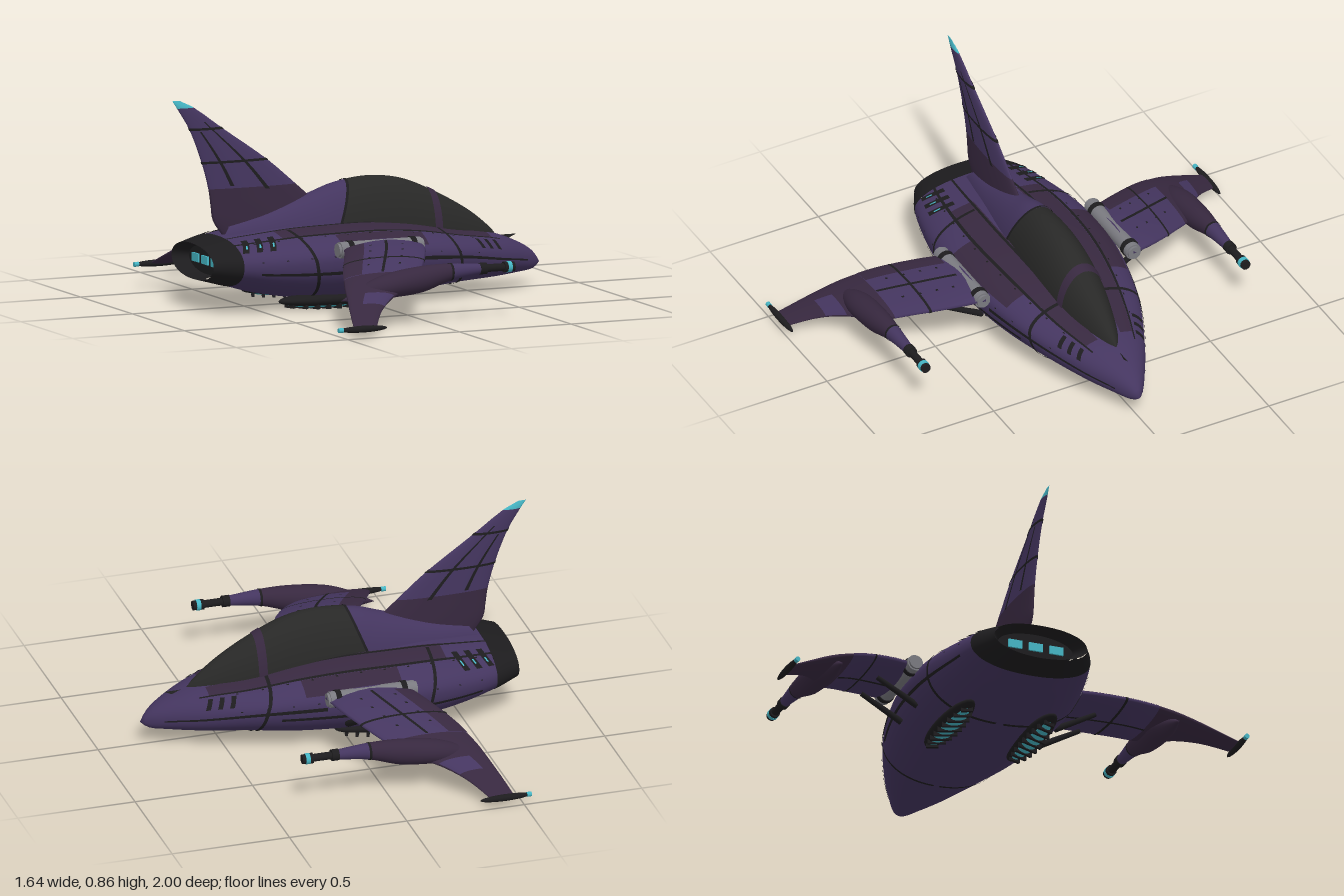
import * as THREE from 'three';
import { mergeVertices } from 'three/addons/utils/BufferGeometryUtils.js';

const PI = Math.PI;
const mat = (name, color, side = THREE.FrontSide) => {
  const m = new THREE.MeshStandardMaterial({ color, side });
  m.name = name;
  return m;
};

// Smooth lookup in a table whose first column is the position
function sample(table, s) {
  let i = 0;
  while (i < table.length - 2 && s > table[i + 1][0]) i++;
  const a = table[i], b = table[i + 1], p = table[i - 1] || a, n = table[i + 2] || b;
  const h = b[0] - a[0], k = THREE.MathUtils.clamp((s - a[0]) / h, 0, 1);
  return a.map((_, c) => {
    const m0 = (b[c] - p[c]) / (b[0] - p[0]) * h, m1 = (n[c] - a[c]) / (n[0] - a[0]) * h;
    const k2 = k * k, k3 = k2 * k;
    return (2 * k3 - 3 * k2 + 1) * a[c] + (k3 - 2 * k2 + k) * m0 + (3 * k2 - 2 * k3) * b[c] + (k3 - k2) * m1;
  });
}

// Surface from a point rule over a grid of u, v in 0..1
function grid(nu, nv, fn) {
  const pos = [], idx = [];
  for (let i = 0; i <= nu; i++) for (let j = 0; j <= nv; j++) pos.push(...fn(i / nu, j / nv));
  for (let i = 0; i < nu; i++) for (let j = 0; j < nv; j++) {
    const a = i * (nv + 1) + j, b = a + nv + 1;
    idx.push(a, b, b + 1, a, b + 1, a + 1);
  }
  let g = new THREE.BufferGeometry();
  g.setAttribute('position', new THREE.Float32BufferAttribute(pos, 3));
  g.setIndex(idx);
  g = mergeVertices(g, 1e-5);
  g.computeVertexNormals();
  return g;
}

// Hull rows: x, half width, bottom, top, height of the widest line
const HULL = [
  [-0.73, 0.20, 0.13, 0.27, 0.2], [-0.62, 0.26, 0.10, 0.295, 0.2], [-0.5, 0.295, 0.065, 0.31, 0.2],
  [-0.35, 0.325, 0.037, 0.325, 0.205], [-0.2, 0.338, 0.022, 0.33, 0.21], [0, 0.33, 0.018, 0.33, 0.21],
  [0.2, 0.295, 0.025, 0.31, 0.2], [0.4, 0.235, 0.045, 0.27, 0.18], [0.6, 0.145, 0.055, 0.235, 0.145],
  [0.72, 0.078, 0.065, 0.19, 0.125], [0.79, 0.032, 0.075, 0.145, 0.108], [0.822, 0, 0.1, 0.1, 0.1]];
const CANOPY = [
  [-0.72, 0.015, 0.2, 0.27, 0.25], [-0.6, 0.04, 0.2, 0.33, 0.25], [-0.4, 0.075, 0.2, 0.385, 0.26],
  [-0.2, 0.105, 0.2, 0.45, 0.26], [-0.1, 0.112, 0.2, 0.483, 0.26], [0.05, 0.118, 0.2, 0.502, 0.26],
  [0.2, 0.115, 0.2, 0.483, 0.255], [0.35, 0.1, 0.2, 0.42, 0.24], [0.5, 0.065, 0.18, 0.335, 0.21],
  [0.6, 0.028, 0.17, 0.255, 0.19], [0.63, 0, 0.18, 0.22, 0.18]];
const POD = [
  [-0.41, 0, 0.115, 0.115, 0.115], [-0.3, 0.035, 0.105, 0.18, 0.145], [-0.2, 0.055, 0.115, 0.215, 0.165],
  [-0.05, 0.05, 0.13, 0.237, 0.185], [0.08, 0.033, 0.17, 0.24, 0.205], [0.22, 0.02, 0.19, 0.23, 0.21]];
// Wing rows: z, trailing x, leading x, height, half thickness
const WING = [
  [0.34, -0.21, 0.14, 0.265, 0.03], [0.45, -0.26, 0.105, 0.25, 0.028], [0.6, -0.335, 0.02, 0.21, 0.025],
  [0.72, -0.385, -0.075, 0.165, 0.027], [0.8, -0.41, -0.2, 0.13, 0.022], [0.88, -0.435, -0.29, 0.09, 0.015],
  [0.985, -0.465, -0.365, 0.037, 0.008]];
// Fin rows: y, trailing x, leading x, half thickness
const FIN = [
  [0.3, -0.6, -0.05, 0.026], [0.36, -0.64, -0.12, 0.025], [0.42, -0.65, -0.19, 0.023], [0.49, -0.66, -0.27, 0.02],
  [0.6, -0.69, -0.4, 0.016], [0.74, -0.745, -0.6, 0.011], [0.83, -0.8, -0.725, 0.007], [0.862, -0.822, -0.79, 0]];

// Piece of a hull-like surface; t runs from the +z side (0) over the top (PI/2)
function shell(table, x0, x1, t0, t1, { off = 0, slant = 0, nu = 24, nv = 24, pow = 1 } = {}) {
  const sMid = (Math.sin(t0) + Math.sin(t1)) / 2;
  return grid(nu, nv, (u, v) => {
    const t = t0 + (t1 - t0) * v, c = Math.cos(t), s = Math.sin(t);
    const x = x0 + (x1 - x0) * u + slant * (s - sMid);
    const [, w, bot, top, mid] = sample(table, x);
    const h = s > 0 ? top - mid : mid - bot;
    const shape = q => Math.sign(q) * Math.pow(Math.abs(q) < 1e-9 ? 0 : Math.abs(q), pow);
    return [x, mid + h * shape(s) + off * s, w * shape(c) + off * c];
  });
}
const wingPiece = (z0, z1, a0, a1, off = 0, nu = 12, nv = 24) => grid(nu, nv, (u, v) => {
  const a = a1 + (a0 - a1) * v, [z, xt, xl, y, th] = sample(WING, z0 + (z1 - z0) * u);
  return [(xt + xl) / 2 + ((xl - xt) / 2 + off) * Math.cos(a), y + (th + off) * Math.sin(a), z];
});
const finPiece = (y0, y1, a0, a1, off = 0, nu = 10, nv = 24) => grid(nu, nv, (u, v) => {
  const a = a1 + (a0 - a1) * v, [y, xt, xl, th] = sample(FIN, y0 + (y1 - y0) * u);
  return [(xt + xl) / 2 + ((xl - xt) / 2 + off) * Math.cos(a), y, -(th + off) * Math.sin(a)];
});

export function createModel() {
  const purple = mat('purple paint', 0x44355f), plum = mat('plum paint', 0x37283f);
  const black = mat('black trim', 0x1d1c1e, THREE.DoubleSide), glass = mat('dark glass', 0x282827);
  const grey = mat('grey metal', 0x7a7a80), cyan = mat('cyan glow', 0x45b5c4);
  const model = new THREE.Group();
  model.name = 'spacecraft';
  const add = (parent, name, geo, m, x = 0, y = 0, z = 0) => {
    const mesh = new THREE.Mesh(geo, m);
    mesh.name = name;
    mesh.position.set(x, y, z);
    parent.add(mesh);
    return mesh;
  };
  const rod = (r, len, r2 = r) => new THREE.CylinderGeometry(r2, r, len, 20).rotateZ(-PI / 2);
  const ball = (x, y, z) => new THREE.SphereGeometry(1, 24, 14).scale(x, y, z);
  const rad = THREE.MathUtils.degToRad;

  // Hull and tail nozzle
  const P = { pow: 0.9 };
  add(model, 'hull', shell(HULL, -0.62, 0.822, 0, 2 * PI, { ...P, nu: 80, nv: 64 }), purple);
  add(model, 'nozzleRing', shell(HULL, -0.73, -0.62, 0, 2 * PI, { ...P, nu: 6, nv: 48, off: 0.003 }), black);
  const oval = (x, k, t) => [x, 0.2 + 0.07 * k * Math.sin(t), 0.2 * k * Math.cos(t)];
  add(model, 'nozzleLip', grid(1, 48, (u, v) => oval(-0.73 + 0.06 * u, 1.02 - 0.2 * u, 2 * PI * v)), black);
  add(model, 'nozzleBack', grid(1, 48, (u, v) => oval(-0.67, 0.85 * u, 2 * PI * v)), black);
  for (const z of [-0.09, 0, 0.09]) add(model, 'engineGlow', new THREE.BoxGeometry(0.008, 0.035, 0.06), cyan, -0.675, 0.2, z);

  // Thin plates and seams on the hull, repeated on both sides
  const onHull = (name, m, x0, x1, d0, d1, o = {}) => {
    const opt = { ...P, off: 0.004, nu: 24, nv: 6, ...o };
    add(model, name, shell(HULL, x0, x1, rad(d0), rad(d1), opt), m);
    add(model, name, shell(HULL, x0, x1, rad(180 - d1), rad(180 - d0), opt), m);
  };
  onHull('deckPanel', plum, -0.42, 0.56, 53, 74, { off: 0.003 });
  onHull('shoulderPanel', plum, -0.2, 0.2, 22, 50, { off: 0.002 });
  onHull('deckSeam', black, -0.62, 0.6, 50, 53);
  onHull('spineSeam', black, -0.62, 0.4, 71, 73, { off: 0.005 });
  onHull('sideSeam', black, -0.55, 0.3, -14, -10);
  onHull('noseSeam', black, 0.12, 0.74, -3, 1);
  for (const x of [-0.33, 0.35]) onHull('ringSeam', black, x, x + 0.014, -88, 70, { nu: 1, nv: 40, slant: -0.04 });
  for (let i = 0; i < 3; i++) {
    const r = -0.6 + i * 0.055, n = 0.47 + i * 0.045;
    onHull('rearVent', black, r, r + 0.026, 30, 60, { nu: 2, slant: 0.08, off: 0.005 });
    onHull('rearVentGlow', cyan, r + 0.01, r + 0.017, 38, 46, { nu: 1, slant: 0.08, off: 0.007 });
    onHull('noseVent', black, n, n + 0.018, 20, 45, { nu: 2, slant: -0.05 });
  }
  for (let x = -0.55; x < 0.5; x += 0.1) for (const d of [47, 8]) onHull('rivet', black, x, x + 0.009, d, d + 1.8, { nu: 1, nv: 1 });

  // Spine fairing, canopy glass and frames
  const S = { slant: 0.09, nu: 30, nv: 32 };
  add(model, 'spineFairing', shell(CANOPY, -0.66, -0.14, 0, PI, S), purple);
  add(model, 'canopyGlass', shell(CANOPY, -0.14, 0.63, 0, PI, { ...S, nu: 48 }), glass);
  add(model, 'canopyRearFrame', shell(CANOPY, -0.147, -0.135, 0, PI, { ...S, off: 0.004, nu: 1 }), black);
  add(model, 'canopyFrame', shell(CANOPY, 0.31, 0.345, 0, PI, { off: 0.004, nu: 3, nv: 32 }), plum);

  // Tail fin
  add(model, 'finBase', finPiece(0.3, 0.49, 0, 2 * PI), plum);
  add(model, 'finBlade', finPiece(0.49, 0.83, 0, 2 * PI), purple);
  add(model, 'finTip', finPiece(0.83, 0.862, 0, 2 * PI), cyan);
  for (const y of [0.6, 0.74]) add(model, 'finSeam', finPiece(y - 0.005, y + 0.005, 0, 2 * PI, 0.003, 1), black);
  for (const s of [1, -1]) for (const [a, y0, y1] of [[1.25, 0.48, 0.77], [2.0, 0.5, 0.73]]) {
    const lo = s > 0 ? a : 2 * PI - a - 0.1;
    add(model, 'finRib', finPiece(y0, y1, lo, lo + 0.1, 0.004, 10, 2), black);
  }

  // One side: wing, hinge, gun pod, tip, struts and belly skid
  for (const side of [1, -1]) {
    const g = new THREE.Group();
    g.name = side > 0 ? 'leftWing' : 'rightWing';
    g.scale.z = side;
    model.add(g);
    add(g, 'innerWing', wingPiece(0.34, 0.67, 0, 2 * PI), purple);
    add(g, 'middleWing', wingPiece(0.67, 0.8, 0, 2 * PI), plum);
    add(g, 'outerWing', wingPiece(0.8, 0.985, 0, 2 * PI), plum);
    add(g, 'wingCorner', wingPiece(0.8, 0.86, 0.2, 1.8, 0.002, 4, 8), purple);
    add(g, 'wingRearPanel', wingPiece(0.38, 0.67, 2.1, 3.0, 0.002, 10, 8), plum);
    add(g, 'wingSeam', wingPiece(0.545, 0.554, 0, 2 * PI, 0.003, 1), black);
    for (const a of [1.5, 4.7]) add(g, 'wingSpar', wingPiece(0.38, 0.67, a, a + 0.07, 0.004, 12, 2), black);
    for (let z = 0.42; z < 0.66; z += 0.06) for (const a of [1.1, 1.9]) add(g, 'wingRivet', wingPiece(z, z + 0.009, a, a + 0.06, 0.004, 1, 1), black);

    add(g, 'hinge', rod(0.034, 0.36), grey, -0.055, 0.26, 0.348);
    for (const x of [-0.236, 0.126]) add(g, 'hingeCap', rod(0.028, 0.018), grey, x, 0.26, 0.348);
    for (const x of [-0.19, 0.09]) add(g, 'hingeBand', rod(0.038, 0.022), black, x, 0.26, 0.348);

    add(g, 'gunPod', shell(POD, -0.41, 0.08, 0, 2 * PI, { nu: 30 }), plum, 0, 0, 0.738);
    add(g, 'gunNeck', shell(POD, 0.08, 0.22, 0, 2 * PI, { nu: 8 }), purple, 0, 0, 0.738);
    add(g, 'neckSeam', shell(POD, 0.075, 0.085, 0, 2 * PI, { off: 0.002, nu: 1 }), black, 0, 0, 0.738);
    const barrel = [[0.225, 0.03, 0.024, black], [0.28, 0.1, 0.016, black], [0.326, 0.014, 0.022, black],
      [0.342, 0.018, 0.023, cyan], [0.358, 0.014, 0.02, black]];
    for (const [x, len, r, m] of barrel) add(g, 'gunBarrel', rod(r, len), m, x, 0.21, 0.738);

    add(g, 'wingTip', ball(0.108, 0.014, 0.014), black, -0.425, 0.037, 0.986);
    add(g, 'wingTipLight', rod(0.01, 0.02), cyan, -0.525, 0.037, 0.985);

    for (const x of [-0.14, 0.03]) {
      const strut = add(g, 'strut', new THREE.CylinderGeometry(0.01, 0.014, 0.2, 10), black, x, 0.165, 0.39);
      strut.rotation.x = PI / 2 - 0.5;
      strut.rotation.order = 'YXZ';
    }

    add(g, 'bellySkid', ball(0.24, 0.03, 0.056), black, -0.19, 0.038, 0.18);
    add(g, 'bellyGlow', ball(0.215, 0.03, 0.044), cyan, -0.19, 0.033, 0.18);
    for (let i = 0; i < 9; i++) {
      const d = (i - 4) / 4.6, rib = add(g, 'bellyRib',
        new THREE.BoxGeometry(0.012, 0.03, 0.1 * Math.sqrt(1 - d * d)), black, -0.19 + d * 0.215, 0.015 + 0.012 * d * d, 0.18);
      rib.rotation.y = 0.4;
    }
  }
  return model;
}
